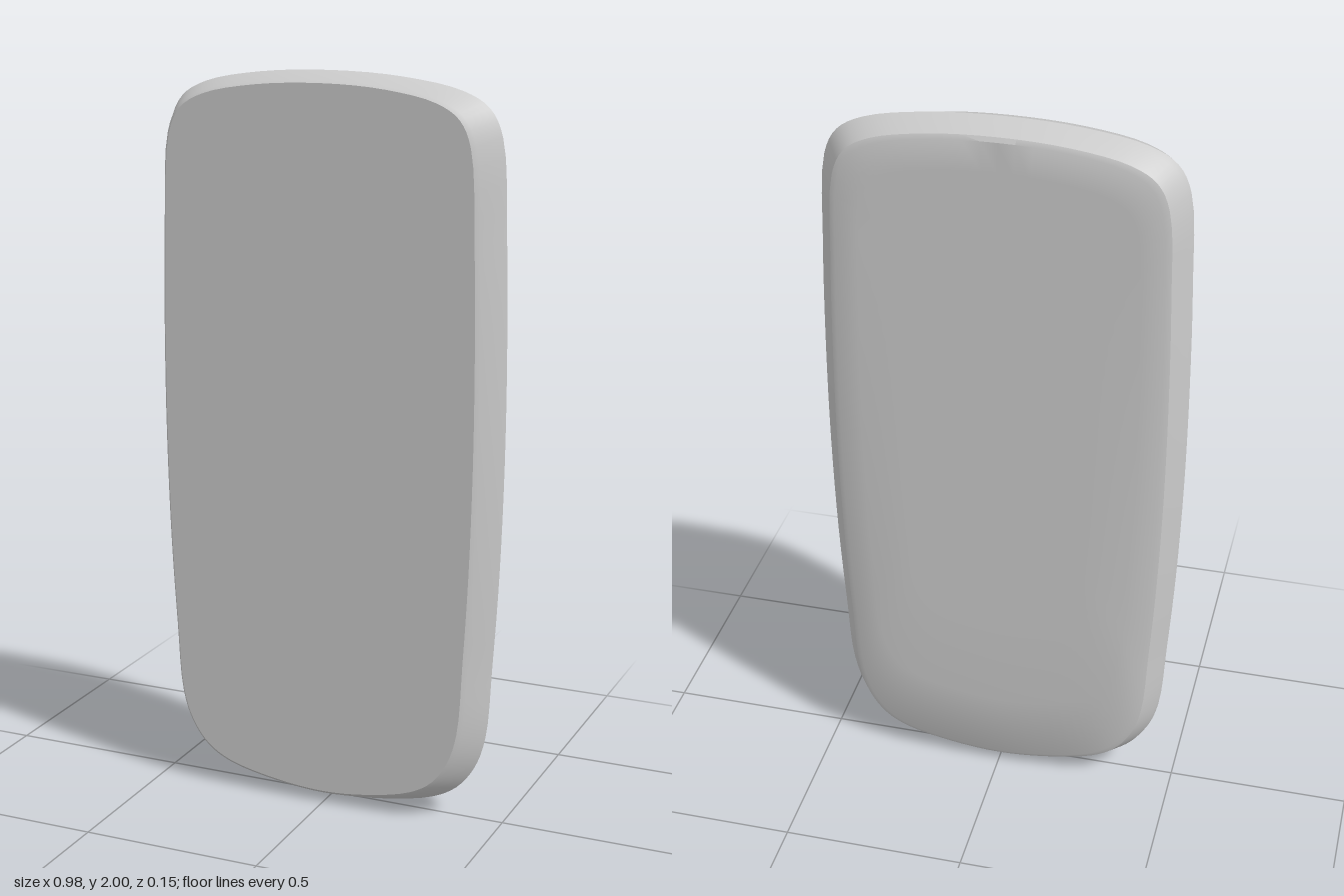
import * as THREE from 'three';
import { toCreasedNormals } from 'three/addons/utils/BufferGeometryUtils.js';

// Right half of the widest outline, from top centre to bottom centre.
const HALF = [
  [0, 2], [0.2, 1.99], [0.36, 1.96], [0.43, 1.92], [0.465, 1.85], [0.481, 1.6],
  [0.488, 1.3], [0.488, 1.0], [0.48, 0.7], [0.466, 0.45], [0.45, 0.24],
  [0.42, 0.15], [0.37, 0.085], [0.3, 0.045], [0.15, 0.012], [0, 0],
];
const WIDE = 0.488;

function outline(count) {
  const mirrored = HALF.slice(1, -1).reverse().map(([x, y]) => [-x, y]);
  const points = [...HALF, ...mirrored].map(([x, y]) => new THREE.Vector3(x, y, 0));
  return new THREE.CatmullRomCurve3(points, true, 'centripetal').getPoints(count).slice(0, count);
}

// Back panel: deepest at the lower third, thinning toward the top.
const backDepth = (y) => -0.077 + 0.012 * THREE.MathUtils.clamp((y - 0.5) / 1.2, 0, 1);

// Cross-sections from front to back: left, right, bottom, top, and depth.
const SECTIONS = [
  [0, 0, 1, 1, 0.075],
  [-0.46, 0.424, 0.034, 1.972, 0.075],
  [-0.467, 0.436, 0.026, 1.978, 0.067],
  [-0.488, 0.488, 0, 2, 0.01],
  [-0.482, 0.478, 0.004, 1.996, -0.008],
  [-0.446, 0.446, 0.025, 1.974, -0.058],
  [-0.43, 0.432, 0.036, 1.962, -0.064],
  [-0.37, 0.37, 0.24, 1.88, backDepth],
  [-0.25, 0.25, 0.5, 1.7, backDepth],
  [0, 0, 1, 1, backDepth],
];

function bodyGeometry() {
  const count = 120;
  const base = outline(count);
  const position = [];
  const index = [];
  for (const [left, right, bottom, top, depth] of SECTIONS) {
    for (const p of base) {
      const x = p.x < 0 ? (p.x / WIDE) * -left : (p.x / WIDE) * right;
      const y = bottom + (p.y / 2) * (top - bottom);
      position.push(x, y, typeof depth === 'function' ? depth(y) : depth);
    }
  }
  for (let s = 0; s < SECTIONS.length - 1; s++) {
    for (let i = 0; i < count; i++) {
      const a = s * count + i;
      const b = s * count + ((i + 1) % count);
      // The first and last sections are single points, so skip empty triangles.
      if (s > 0) index.push(a, b, a + count);
      if (s < SECTIONS.length - 2) index.push(b, b + count, a + count);
    }
  }
  const geometry = new THREE.BufferGeometry();
  geometry.setAttribute('position', new THREE.Float32BufferAttribute(position, 3));
  geometry.setIndex(index);
  return toCreasedNormals(geometry, 0.45);
}

export function createModel() {
  const group = new THREE.Group();
  group.name = 'roundedSlab';
  const material = new THREE.MeshStandardMaterial({ color: 0xcccccc });
  const body = new THREE.Mesh(bodyGeometry(), material);
  body.name = 'bevelledBody';
  group.add(body);
  return group;
}
